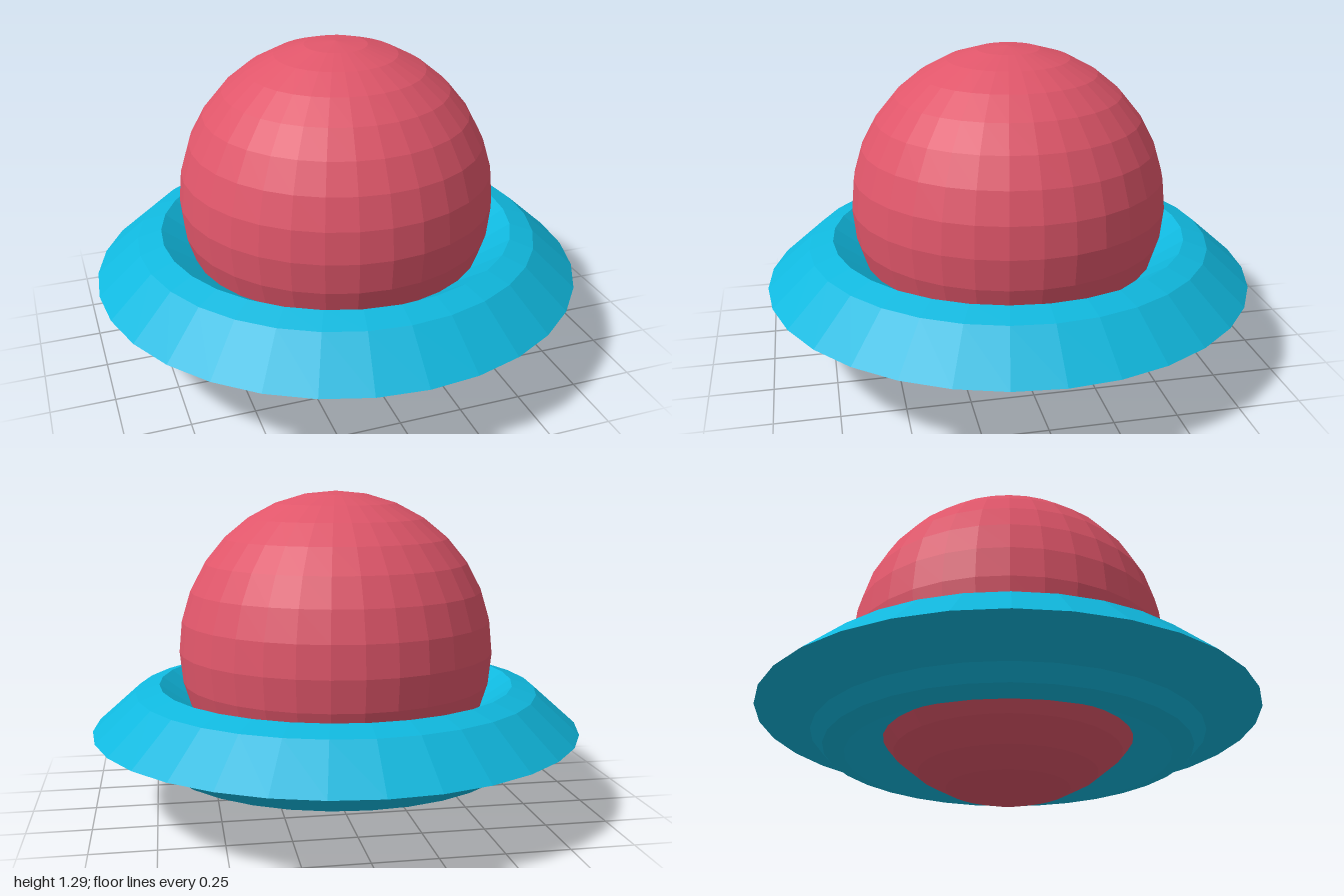
import * as THREE from 'three';

export function createModel() {
  const model = new THREE.Group();
  const paint = (color) => new THREE.MeshStandardMaterial({ color, flatShading: true });

  // Round body
  const radius = 0.643;
  const body = new THREE.Mesh(new THREE.SphereGeometry(radius, 32, 16), paint(0xe0566a));
  body.name = 'sphereBody';
  body.position.y = radius;
  model.add(body);

  // Closed ring profile, from the inner lower edge outward and back over the top
  const profile = [
    [0.46, 0.26], [0.50, 0.24], [0.645, 0.167], [0.73, 0.19], [0.78, 0.245],
    [1.0, 0.325],
    [0.825, 0.48], [0.728, 0.51], [0.60, 0.42], [0.55, 0.39], [0.46, 0.26],
  ].map(([r, y]) => new THREE.Vector2(r, y));
  const ring = new THREE.Mesh(new THREE.LatheGeometry(profile, 32), paint(0x10b8de));
  ring.name = 'saucerRing';
  model.add(ring);

  return model;
}
